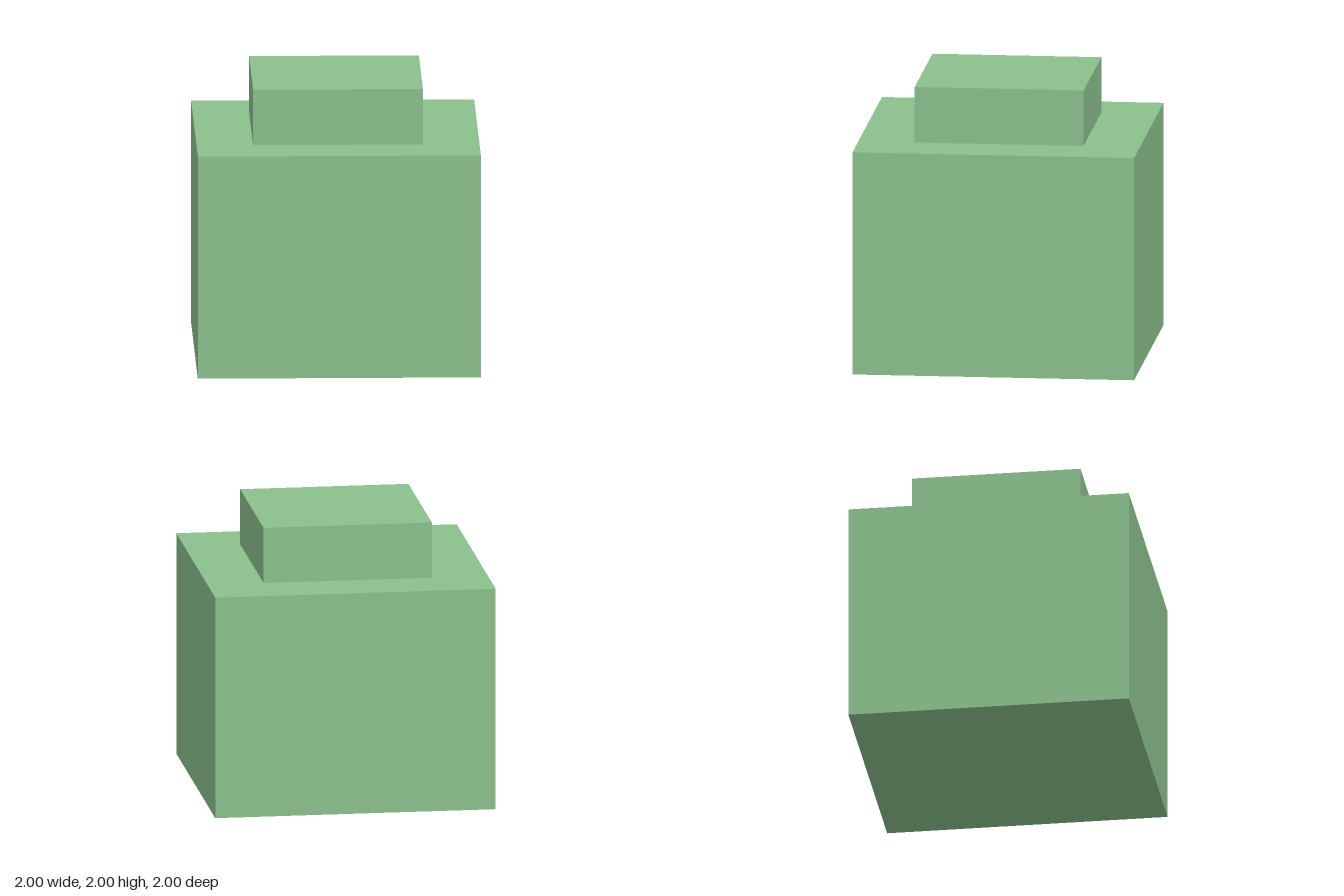
import * as THREE from 'three';

export function createModel() {
  const model = new THREE.Group();
  const green = new THREE.MeshStandardMaterial({ color: 0x8abf8c });

  // Square block standing on height y
  function addBlock(name, width, height, y) {
    const mesh = new THREE.Mesh(new THREE.BoxGeometry(width, height, width), green);
    mesh.name = name;
    mesh.position.y = y + height / 2;
    model.add(mesh);
  }

  addBlock('body', 2, 1.6, 0);
  addBlock('cap', 1.2, 0.4, 1.6);

  return model;
}
